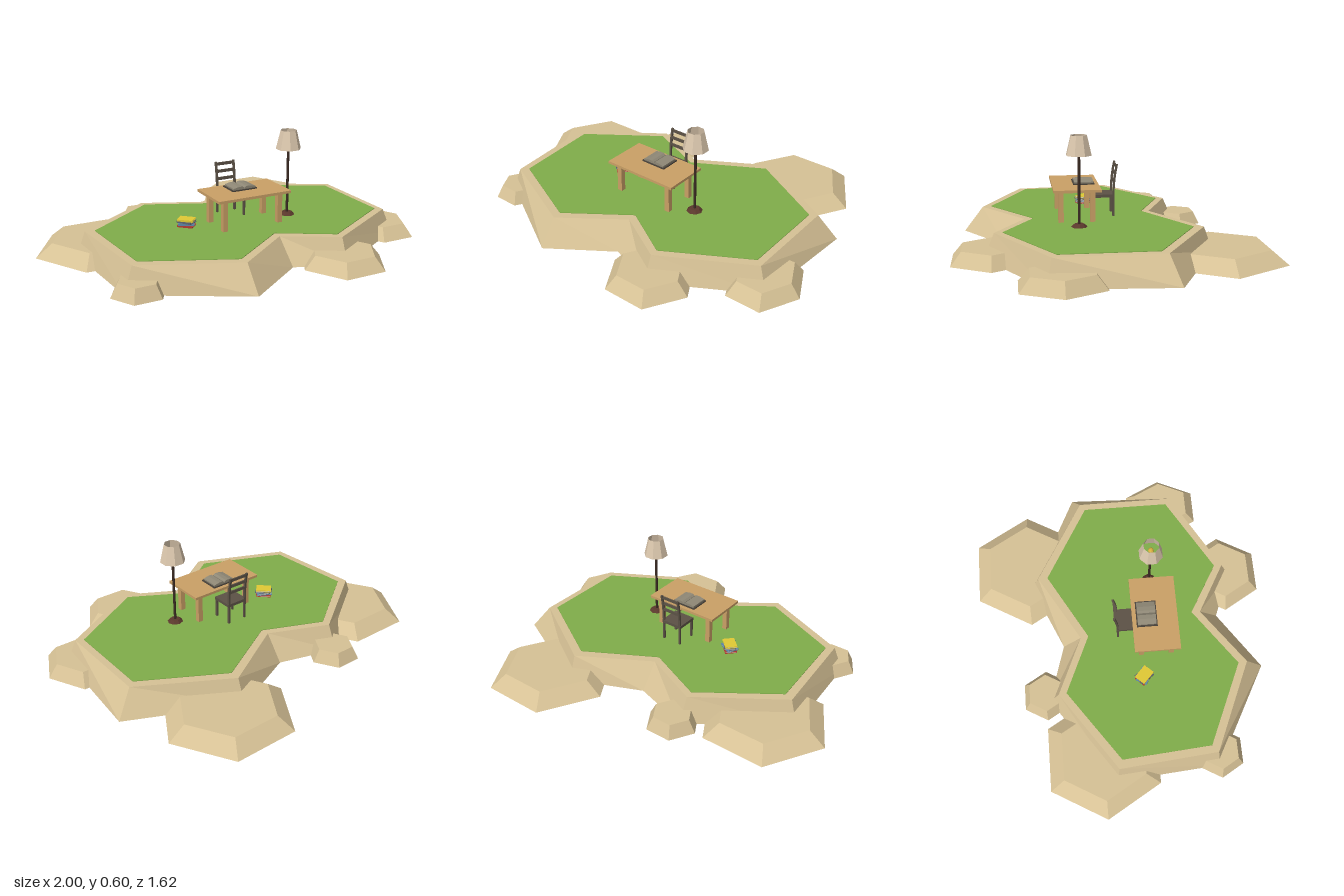
import * as THREE from 'three';

const mat = (color, side = THREE.FrontSide) =>
  new THREE.MeshStandardMaterial({ color, flatShading: true, side });
const SAND = mat(0xd6c195), GRASS = mat(0x80ad4a), WOOD = mat(0xcaa066), DARK = mat(0x5c5246),
  POLE = mat(0x3a2a22), BASE = mat(0x5a382c), COVER = mat(0x4a443c), PAGE = mat(0x8f8876);

function add(parent, name, geometry, material, x = 0, y = 0, z = 0) {
  const m = new THREE.Mesh(geometry, material);
  m.name = name;
  m.position.set(x, y, z);
  parent.add(m);
  return m;
}

function group(parent, name, x = 0, y = 0, z = 0) {
  const g = new THREE.Group();
  g.name = name;
  g.position.set(x, y, z);
  parent.add(g);
  return g;
}

// Solid between two outlines ([x, z] points) at heights y0 and y1, capped both ends
function loft(low, high, y0, y1) {
  const pos = [];
  const at = (ring, i, y) => [ring[i % ring.length][0], y, ring[i % ring.length][1]];
  for (let i = 0; i < low.length; i++) {
    const a = at(low, i, y0), b = at(low, i + 1, y0), c = at(high, i + 1, y1), d = at(high, i, y1);
    pos.push(...a, ...d, ...c, ...a, ...c, ...b);
  }
  for (const [ring, y, up] of [[low, y0, false], [high, y1, true]]) {
    const pts = ring.map(([x, z]) => new THREE.Vector2(x, z));
    for (const [i, j, k] of THREE.ShapeUtils.triangulateShape(pts, [])) {
      const facesDown = THREE.ShapeUtils.area([pts[i], pts[j], pts[k]]) > 0;
      const order = facesDown === up ? [i, k, j] : [i, j, k];
      order.forEach((n) => pos.push(...at(ring, n, y)));
    }
  }
  const g = new THREE.BufferGeometry();
  g.setAttribute('position', new THREE.Float32BufferAttribute(pos, 3));
  g.computeVertexNormals();
  return g;
}

const GROUND = 0.135;

function island(root) {
  const foot = [[-0.805, -0.094], [-0.334, -0.436], [-0.019, -0.34], [0.356, -0.505], [0.906, -0.238],
    [0.858, 0.361], [0.356, 0.65], [0.099, 0.548], [-0.222, 0.767], [-0.762, 0.468]];
  const rim = [[-0.762, -0.08], [-0.334, -0.377], [-0.019, -0.238], [0.356, -0.457], [0.81, -0.19],
    [0.81, 0.34], [0.356, 0.596], [0.083, 0.441], [-0.227, 0.666], [-0.714, 0.452]];
  const lawn = [[-0.714, -0.061], [-0.329, -0.334], [-0.013, -0.195], [0.356, -0.404], [0.773, -0.163],
    [0.773, 0.313], [0.356, 0.553], [0.083, 0.393], [-0.233, 0.618], [-0.676, 0.42]];
  add(root, 'mound', loft(foot, rim, 0, GROUND - 0.003), SAND);
  add(root, 'lawn', loft(lawn, lawn, GROUND - 0.005, GROUND), GRASS);

  // Six-sided rocks around the mound: x, z, x radius, z radius, height
  const rocks = [
    [0.47, -0.516, 0.342, 0.342, 0.067], [-0.66, -0.158, 0.342, 0.342, 0.067],
    [-0.3, -0.45, 0.14, 0.14, 0.067], [0.81, 0.29, 0.19, 0.228, 0.067],
    [0.358, 0.607, 0.228, 0.228, 0.067], [-0.692, 0.473, 0.139, 0.139, 0.067],
  ];
  for (const [x, z, rx, rz, h] of rocks) {
    const hex = new THREE.CylinderGeometry(0.74, 1, h, 6).rotateY(Math.PI / 6).scale(rx, 1, rz);
    add(root, 'rock', hex, SAND, x, h / 2, z);
  }
}

function table(root) {
  const g = group(root, 'table', 0.028, GROUND, 0.172);
  add(g, 'tableTop', new THREE.BoxGeometry(0.42, 0.014, 0.246), WOOD, 0, 0.168, 0);
  for (const x of [-0.16, 0.16]) for (const z of [-0.081, 0.083])
    add(g, 'tableLeg', new THREE.BoxGeometry(0.027, 0.162, 0.027), WOOD, x, 0.081, z);
}

function chair(root) {
  const g = group(root, 'chair', 0.027, GROUND, 0.022);
  add(g, 'seat', new THREE.BoxGeometry(0.122, 0.016, 0.118), DARK, 0, 0.109, 0);
  for (const x of [-0.053, 0.053]) {
    for (const z of [-0.053, 0.053])
      add(g, 'chairLeg', new THREE.BoxGeometry(0.011, 0.104, 0.011), DARK, x, 0.052, z);
    // Back post, bending rearwards toward the top
    const post = new THREE.BoxGeometry(0.011, 0.165, 0.011, 1, 4, 1);
    const p = post.attributes.position;
    for (let i = 0; i < p.count; i++) {
      const t = p.getY(i) / 0.165 + 0.5;
      p.setZ(i, p.getZ(i) - 0.018 * t * t);
    }
    add(g, 'backPost', post, DARK, x, 0.195, -0.053);
  }
  for (const y of [0.187, 0.227, 0.266]) {
    const t = (y - 0.1125) / 0.165;
    add(g, 'backSlat', new THREE.BoxGeometry(0.106, 0.016, 0.007), DARK, 0, y, -0.053 - 0.018 * t * t);
  }
}

function lamp(root) {
  const g = group(root, 'floorLamp', 0.293, GROUND, 0.17);
  add(g, 'lampBase', new THREE.CylinderGeometry(0.026, 0.042, 0.015, 8), BASE, 0, 0.0075, 0);
  add(g, 'lampPole', new THREE.CylinderGeometry(0.007, 0.007, 0.385, 8), POLE, 0, 0.2, 0);
  add(g, 'bulb', new THREE.SphereGeometry(0.016, 8, 6), mat(0xd8b040), 0, 0.405, 0);
  add(g, 'lampShade', new THREE.CylinderGeometry(0.043, 0.067, 0.1, 8, 1, true).rotateY(Math.PI / 8),
    mat(0xdcc8ae, THREE.DoubleSide), 0, 0.415, 0);
}

function openBook(root) {
  const g = group(root, 'openBook', 0.027, 0.31, 0.127);
  add(g, 'bookCover', new THREE.BoxGeometry(0.144, 0.006, 0.112), COVER, 0, 0.003, 0);
  for (const s of [-1, 1]) {
    // Page block, rising from the fore edge and dipping at the spine
    const shape = new THREE.Shape([[0.001, 0.005], [0.064, 0.005], [0.064, 0.014],
      [0.035, 0.021], [0.012, 0.021], [0.001, 0.013]].map(([x, y]) => new THREE.Vector2(s * x, y)));
    const pages = new THREE.ExtrudeGeometry(shape, { depth: 0.1, bevelEnabled: false });
    add(g, 'pages', pages, PAGE, 0, 0, -0.05);
  }
}

function bookStack(root) {
  const g = group(root, 'bookStack', -0.27, GROUND, 0.094);
  const paper = mat(0xd8d2c0);
  const books = [[0xb03a30, 0.78], [0x5f87a8, 0.5], [0x5a6470, 0.95], [0xe0c935, 0.75]];
  books.forEach(([color, turn], i) => {
    const b = group(g, 'book', 0, i * 0.0105, 0);
    b.rotation.y = -turn;
    const cover = mat(color);
    for (const y of [0.0012, 0.0088])
      add(b, 'cover', new THREE.BoxGeometry(0.084, 0.0024, 0.064), cover, 0, y, 0);
    add(b, 'spine', new THREE.BoxGeometry(0.084, 0.01, 0.003), cover, 0, 0.005, 0.0305);
    add(b, 'pages', new THREE.BoxGeometry(0.078, 0.0054, 0.058), paper, 0, 0.005, 0);
  });
}

export function createModel() {
  const root = new THREE.Group();
  root.name = 'studyIsland';
  for (const build of [island, table, chair, lamp, openBook, bookStack]) build(root);
  return root;
}
